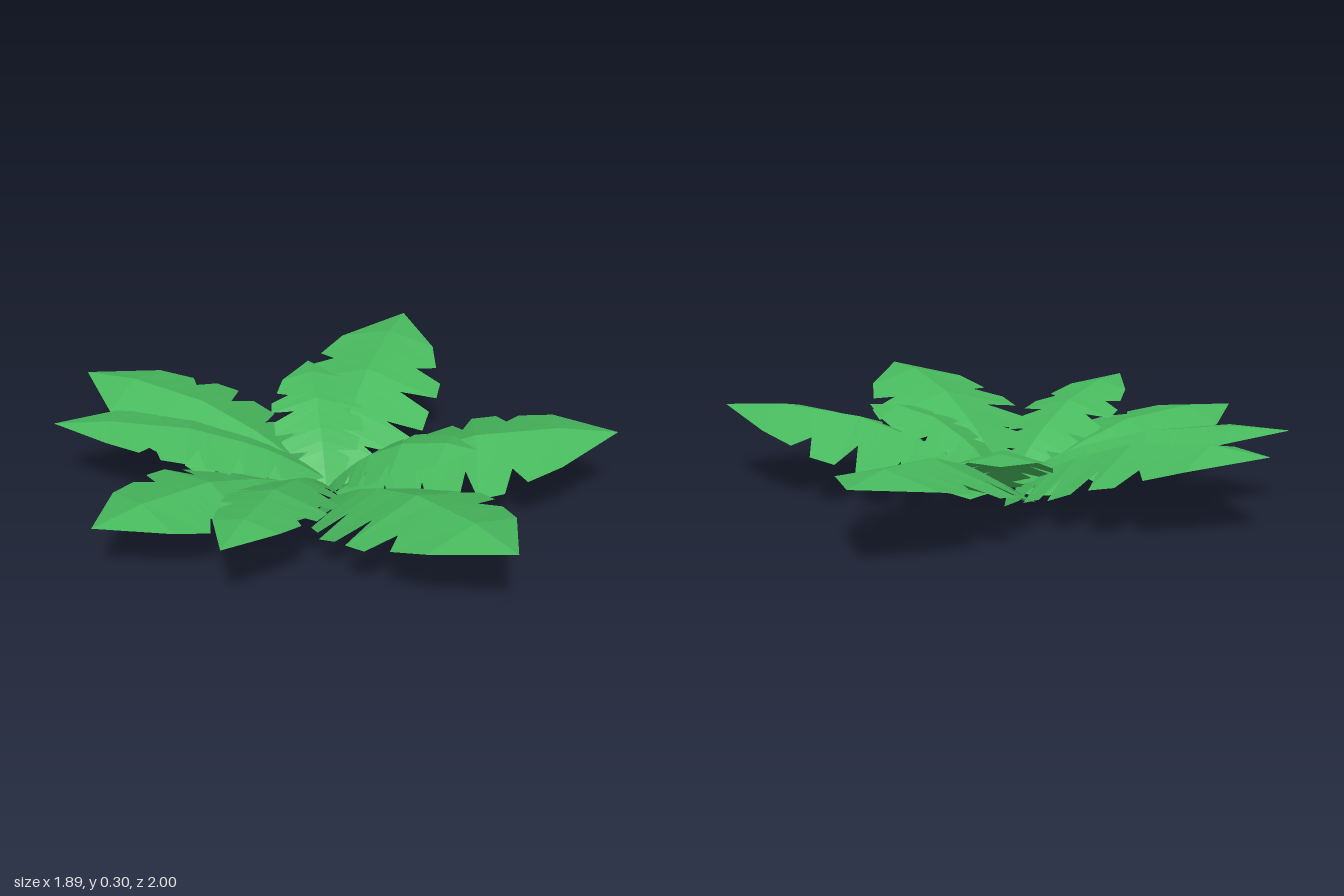
import * as THREE from 'three';

// Half outline of a leaf from tip to base: [fraction from tip, half width]
const OUTLINE = [
  [0, 0], [0.21, 0.19], [0.33, 0.24], [0.38, 0.17], [0.41, 0.28], [0.5, 0.29],
  [0.54, 0.15], [0.57, 0.28], [0.66, 0.28], [0.69, 0.14], [0.71, 0.25], [0.79, 0.22],
  [0.82, 0.09], [0.84, 0.17], [0.93, 0.12], [1, 0],
];

// Rise of the midrib: [fraction from tip, fraction of tip height]
const RISE = [[0, 1], [0.21, 1.04], [0.5, 0.92], [0.75, 0.62], [0.88, 0.36], [1, 0.05]];

function rise(u) {
  for (let i = 1; i < RISE.length; i++) {
    const [u0, h0] = RISE[i - 1], [u1, h1] = RISE[i];
    if (u <= u1) return h0 + (h1 - h0) * (u - u0) / (u1 - u0);
  }
  return 0;
}

// Folded leaf blade: two halves sloping down from a raised midrib, steeper
// towards the base, with an optional dip that bends the outer half down
function leafGeometry({ base, tip, width, droop, dip = 0 }) {
  const dx = tip[0] - base[0], dz = tip[2] - base[2];
  const len = Math.hypot(dx, dz);
  const px = -dz / len, pz = dx / len;
  const point = (u, w, side) => [
    tip[0] - dx * u + px * w * side,
    Math.max(0, base[1] + (tip[1] + dip - base[1]) * rise(u)
      - dip * Math.max(0, 1 - 2 * u) - w * droop * (0.75 + 0.7 * u)),
    tip[2] - dz * u + pz * w * side,
  ];
  const positions = [];
  const tri = (a, b, c, flip) => positions.push(...a, ...(flip ? c : b), ...(flip ? b : c));
  for (const side of [1, -1]) {
    const scale = width[side > 0 ? 0 : 1];
    for (let i = 1; i < OUTLINE.length; i++) {
      const [u0, w0] = OUTLINE[i - 1], [u1, w1] = OUTLINE[i];
      const r0 = point(u0, 0, side), r1 = point(u1, 0, side);
      const e0 = point(u0, w0 * scale, side), e1 = point(u1, w1 * scale, side);
      if (w0 > 0) tri(r0, e0, e1, side > 0);
      if (w1 > 0) tri(r0, e1, r1, side > 0);
    }
  }
  const geometry = new THREE.BufferGeometry();
  geometry.setAttribute('position', new THREE.Float32BufferAttribute(positions, 3));
  geometry.computeVertexNormals();
  return geometry;
}

export function createModel() {
  const group = new THREE.Group();
  group.name = 'leafyPlant';
  const green = new THREE.MeshStandardMaterial({ color: 0x48ba5e });
  green.name = 'leafGreen';
  green.flatShading = true;
  green.side = THREE.DoubleSide;

  const leaves = [
    // Large outer leaves
    { name: 'backLeaf', base: [0.06, 0, -0.1], tip: [-0.38, 0.305, -1], width: [1.02, 1.02], droop: 0.28 },
    { name: 'backLeftLeaf', base: [0.06, 0.01, -0.09], tip: [0.94, 0.305, -0.63], width: [0.97, 1.05], droop: 0.28 },
    { name: 'frontLeftLeaf', base: [0.06, 0.01, -0.04], tip: [0.81, 0.3, 0.65], width: [1.05, 1.1], droop: 0.28 },
    { name: 'frontLeaf', base: [0.01, 0.01, -0.02], tip: [-0.07, 0.305, 1], width: [1.04, 0.97], droop: 0.27 },
    { name: 'frontRightLeaf', base: [0.03, 0.05, -0.08], tip: [-0.76, 0.295, 0.36], width: [0.6, 0.66], droop: 0.27 },
    { name: 'rightLeaf', base: [0.02, 0.01, -0.1], tip: [-0.95, 0.237, -0.1], width: [0.95, 0.95], droop: 0.22, dip: 0.02 },
    { name: 'backRightLeaf', base: [0.05, 0.06, -0.09], tip: [-0.7, 0.295, -0.73], width: [0.74, 0.65], droop: 0.22 },
    // Small inner leaves
    { name: 'innerBackLeaf', base: [0.05, 0.03, -0.08], tip: [0.37, 0.28, -0.57], width: [0.6, 0.6], droop: 0.28 },
    { name: 'innerFrontLeaf', base: [0.05, 0.03, -0.07], tip: [0.34, 0.29, 0.41], width: [0.6, 0.6], droop: 0.26 },
  ];
  for (const leaf of leaves) {
    const mesh = new THREE.Mesh(leafGeometry(leaf), green);
    mesh.name = leaf.name;
    group.add(mesh);
  }
  return group;
}
